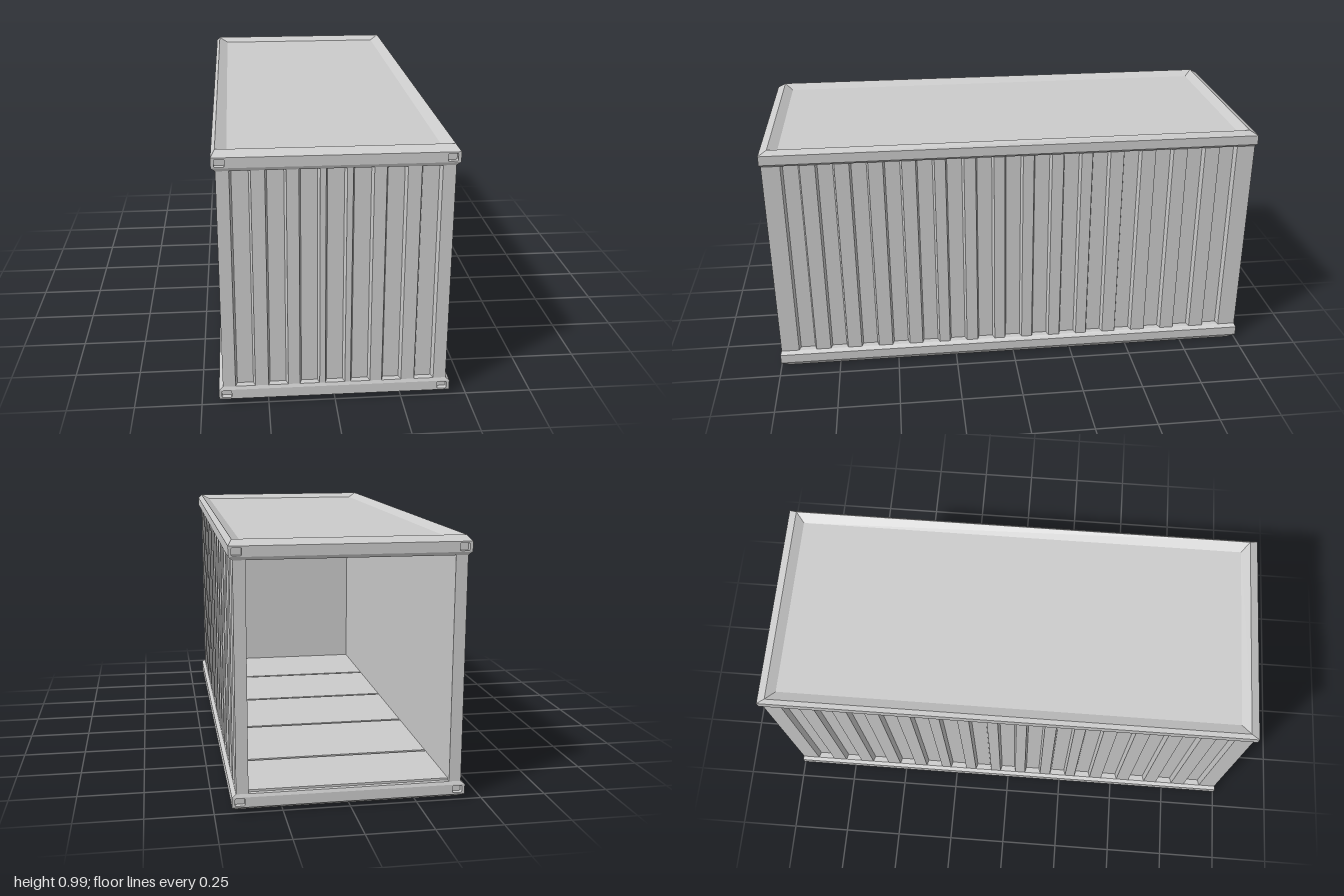
import * as THREE from 'three';

const H = 0.99;              // overall height
const RAIL = 0.07;           // height of the bottom and top frames
const X = 0.435, WALL_X = 0.42, WALL_Z = 0.995, THICK = 0.045;

const material = new THREE.MeshStandardMaterial({ color: 0xcccccc, flatShading: true });

function mesh(name, geometry) {
  const m = new THREE.Mesh(geometry, material);
  m.name = name;
  return m;
}

// Rectangular loops [half x, half z, y] stitched into a closed, bevelled slab
function slabGeometry(loops, skipEndsAt) {
  const pos = [];
  const corners = ([x, z, y]) => [[x, y, z], [x, y, -z], [-x, y, -z], [-x, y, z]];
  const quad = (a, b, c, d) => pos.push(...a, ...b, ...c, ...a, ...c, ...d);
  const rings = loops.map(corners);
  const last = rings[rings.length - 1];
  for (let r = 0; r < rings.length - 1; r++) {
    for (let i = 0; i < 4; i++) {
      if (r === skipEndsAt && i % 2 === 1) continue;
      const j = (i + 1) % 4;
      quad(rings[r][i], rings[r][j], rings[r + 1][j], rings[r + 1][i]);
    }
  }
  quad(...[...rings[0]].reverse());
  quad(...last);
  const g = new THREE.BufferGeometry();
  g.setAttribute('position', new THREE.Float32BufferAttribute(pos, 3));
  g.computeVertexNormals();
  return g;
}

function roundedHole(cx, cy, w, h, r) {
  const p = new THREE.Path();
  p.moveTo(cx - w + r, cy - h);
  p.lineTo(cx + w - r, cy - h);
  p.quadraticCurveTo(cx + w, cy - h, cx + w, cy - h + r);
  p.lineTo(cx + w, cy + h - r);
  p.quadraticCurveTo(cx + w, cy + h, cx + w - r, cy + h);
  p.lineTo(cx - w + r, cy + h);
  p.quadraticCurveTo(cx - w, cy + h, cx - w, cy + h - r);
  p.lineTo(cx - w, cy - h + r);
  p.quadraticCurveTo(cx - w, cy - h, cx - w + r, cy - h);
  return p;
}

// Frame with recessed panel, bevelled rails and corner lock pockets at both ends
function frame(name) {
  const group = new THREE.Group();
  group.name = name;
  group.add(mesh('rails', slabGeometry([
    [0.38, 0.93, 0.02], [0.42, 0.965, 0], [X, 1, 0.02],
    [X, 1, 0.058], [WALL_X, WALL_Z, RAIL],
  ], 2)));

  const shape = new THREE.Shape([[-X, 0.02], [X, 0.02], [X, 0.058], [-X, 0.058]]
    .map(([x, y]) => new THREE.Vector2(x, y)));
  for (const s of [-1, 1]) shape.holes.push(roundedHole(s * 0.406, 0.04, 0.018, 0.014, 0.005));
  const plate = new THREE.ExtrudeGeometry(shape, { depth: 0.02, bevelEnabled: false, curveSegments: 3 });
  plate.translate(0, 0, 0.98);
  const backing = new THREE.BoxGeometry(2 * X - 0.004, 0.036, 0.01);
  backing.translate(0, 0.039, 0.975);
  for (const turn of [0, Math.PI]) {
    const end = new THREE.Group();
    end.name = 'endRail';
    end.add(mesh('lockPlate', plate), mesh('pocketFloor', backing));
    end.rotation.y = turn;
    group.add(end);
  }
  return group;
}

// Upright wall, flat inside, with trapezoid grooves on its outer face
function corrugatedWall(name, halfLength, centers) {
  const depth = 0.025, inner = 0.03, outer = 0.037;
  const pts = [[-halfLength, -THICK], [halfLength, -THICK], [halfLength, 0]];
  for (const c of [...centers].sort((a, b) => b - a)) {
    pts.push([c + outer, 0], [c + inner, -depth], [c - inner, -depth], [c - outer, 0]);
  }
  pts.push([-halfLength, 0]);
  const shape = new THREE.Shape(pts.map(([x, y]) => new THREE.Vector2(x, y)));
  const g = new THREE.ExtrudeGeometry(shape, { depth: H - 2 * RAIL, bevelEnabled: false });
  g.rotateX(-Math.PI / 2);
  const m = mesh(name, g);
  m.position.y = RAIL;
  return m;
}

const mirrored = (list) => [0, ...list, ...list.map((v) => -v)];

export function createModel() {
  const model = new THREE.Group();
  model.name = 'cargoContainer';

  // Base and roof are the same frame, the roof turned over
  const roof = frame('roofFrame');
  roof.rotation.z = Math.PI;
  roof.position.y = H;
  model.add(frame('baseFrame'), roof);

  // Long walls; their rear ends form the door posts
  const sideGrooves = mirrored([0.118, 0.239, 0.357, 0.486, 0.618, 0.75, 0.884]);
  for (const s of [1, -1]) {
    const wall = corrugatedWall(s > 0 ? 'leftWall' : 'rightWall', WALL_Z, sideGrooves);
    wall.rotation.y = -s * Math.PI / 2;
    wall.position.x = s * WALL_X;
    model.add(wall);
  }

  // Closed front wall between the long walls
  const front = corrugatedWall('frontWall', WALL_X - THICK, mirrored([0.095, 0.213, 0.336]));
  front.rotation.y = Math.PI;
  front.position.z = WALL_Z;
  model.add(front);

  // Floor boards separated by narrow seams
  const seams = [-0.985, -0.67, -0.26, 0.15, 0.56, 0.96];
  for (let i = 0; i < seams.length - 1; i++) {
    const length = seams[i + 1] - seams[i] - 0.014;
    const board = mesh('floorBoard', new THREE.BoxGeometry(2 * (WALL_X - THICK), 0.01, length));
    board.position.set(0, RAIL + 0.003, (seams[i] + seams[i + 1]) / 2);
    model.add(board);
  }
  return model;
}
